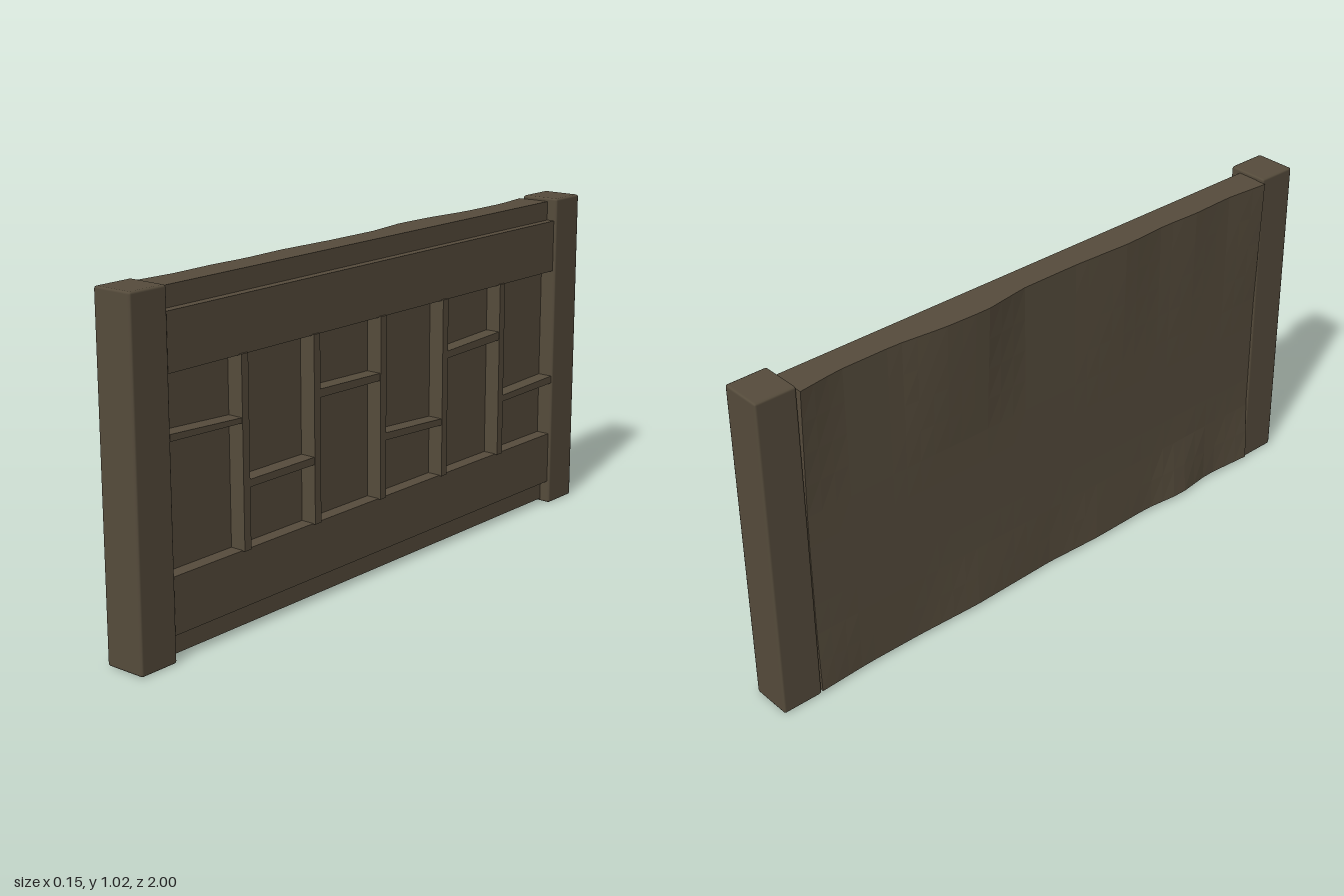
import * as THREE from 'three';
import { RoundedBoxGeometry } from 'three/addons/geometries/RoundedBoxGeometry.js';

const BACK = -0.03;   // plane where the backing meets the frame
const wood = new THREE.MeshStandardMaterial({ color: 0x564c3c });
wood.name = 'dark weathered wood';

function add(parent, name, geometry, x = 0, y = 0, z = 0) {
  const mesh = new THREE.Mesh(geometry, wood);
  mesh.name = name;
  mesh.position.set(x, y, z);
  parent.add(mesh);
  return mesh;
}

// Box given by its limits on each axis
function block(parent, name, [x0, x1], [y0, y1], [z0, z1]) {
  return add(parent, name, new THREE.BoxGeometry(x1 - x0, y1 - y0, z1 - z0),
    (x0 + x1) / 2, (y0 + y1) / 2, (z0 + z1) / 2);
}

// Piecewise linear lookup in [z, value] pairs sorted by z
function sample(points, z) {
  for (let i = 1; i < points.length; i++) {
    const [a, va] = points[i - 1], [b, vb] = points[i];
    if (z <= b) return va + (vb - va) * Math.max(0, (z - a) / (b - a));
  }
  return points[points.length - 1][1];
}

// Rough slab whose back face bulges along its top and bottom edges
function backingGeometry() {
  const top = [[-0.87, -0.07], [-0.74, -0.053], [-0.55, -0.053], [-0.4, -0.07], [-0.25, -0.075],
    [-0.1, -0.053], [0.1, -0.053], [0.3, -0.062], [0.45, -0.054], [0.57, -0.06], [0.72, -0.055], [0.87, -0.067]];
  const bottom = [[-0.87, -0.06], [-0.7, -0.052], [-0.5, -0.053], [-0.3, -0.06], [0, -0.052],
    [0.2, -0.06], [0.42, -0.056], [0.56, -0.072], [0.7, -0.055], [0.87, -0.068]];
  const g = new THREE.BoxGeometry(0.02, 1, 1.74, 1, 10, 36);
  const p = g.attributes.position;
  for (let i = 0; i < p.count; i++) {
    const y = 0.01 + (p.getY(i) + 0.5), z = p.getZ(i);
    let x = BACK;
    if (p.getX(i) < 0) {
      const up = THREE.MathUtils.clamp((y - 0.58) / 0.42, 0, 1);
      const down = THREE.MathUtils.clamp((0.22 - y) / 0.2, 0, 1);
      x = -0.054 + (sample(top, z) + 0.054) * up + (sample(bottom, z) + 0.054) * down;
    }
    p.setXYZ(i, x, y, z);
  }
  const flat = g.toNonIndexed();
  flat.computeVertexNormals();
  return flat;
}

// Crossbar with tilted ends: [z, bottom, top] at both ends
function crossbarGeometry([za, a0, a1], [zb, b0, b1]) {
  const s = new THREE.Shape();
  s.moveTo(-za, a0);
  s.lineTo(-zb, b0);
  s.lineTo(-zb, b1);
  s.lineTo(-za, a1);
  s.closePath();
  const g = new THREE.ExtrudeGeometry(s, { depth: 0.05, bevelEnabled: false });
  return g.rotateY(Math.PI / 2).translate(0.018, 0, 0);
}

export function createModel() {
  const model = new THREE.Group();
  model.name = 'woodenPanel';

  // End posts with small chamfers
  for (const side of [1, -1]) {
    add(model, side > 0 ? 'frontPost' : 'backPost',
      new RoundedBoxGeometry(0.13, 1.02, 0.128, 1, 0.007), 0.007, 0.511, side * 0.936);
  }

  // Core panel, with its edge strips showing above and below the rails
  const span = [-0.873, 0.873];
  block(model, 'panel', [BACK, 0.02], [0.2, 0.82], span);
  block(model, 'topStrip', [BACK, 0.037], [0.8, 1.01], span);
  block(model, 'bottomStrip', [BACK, 0.037], [0.01, 0.22], span);

  // Raised rails
  block(model, 'topRail', [0, 0.063], [0.787, 0.95], span);
  block(model, 'bottomRail', [0, 0.063], [0.075, 0.24], span);

  // Upright bars
  const uprights = [0.59, 0.298, 0.005, -0.292, -0.585];
  for (const z of uprights) {
    block(model, 'uprightBar', [0.01, 0.07], [0.238, 0.79], [z - 0.013, z + 0.013]);
  }

  // Staggered crossbars, one in each bay
  const edges = [0.885, ...uprights, -0.885];
  const heights = [
    [0.61, 0.63, 0.6, 0.615], [0.415, 0.437, 0.415, 0.437], [0.605, 0.63, 0.6, 0.622],
    [0.415, 0.438, 0.4, 0.42], [0.605, 0.627, 0.614, 0.64], [0.408, 0.428, 0.414, 0.438],
  ];
  heights.forEach(([a0, a1, b0, b1], i) => {
    add(model, 'crossbar', crossbarGeometry([edges[i], a0, a1], [edges[i + 1], b0, b1]));
  });

  // Rough backing
  add(model, 'backing', backingGeometry());
  return model;
}
